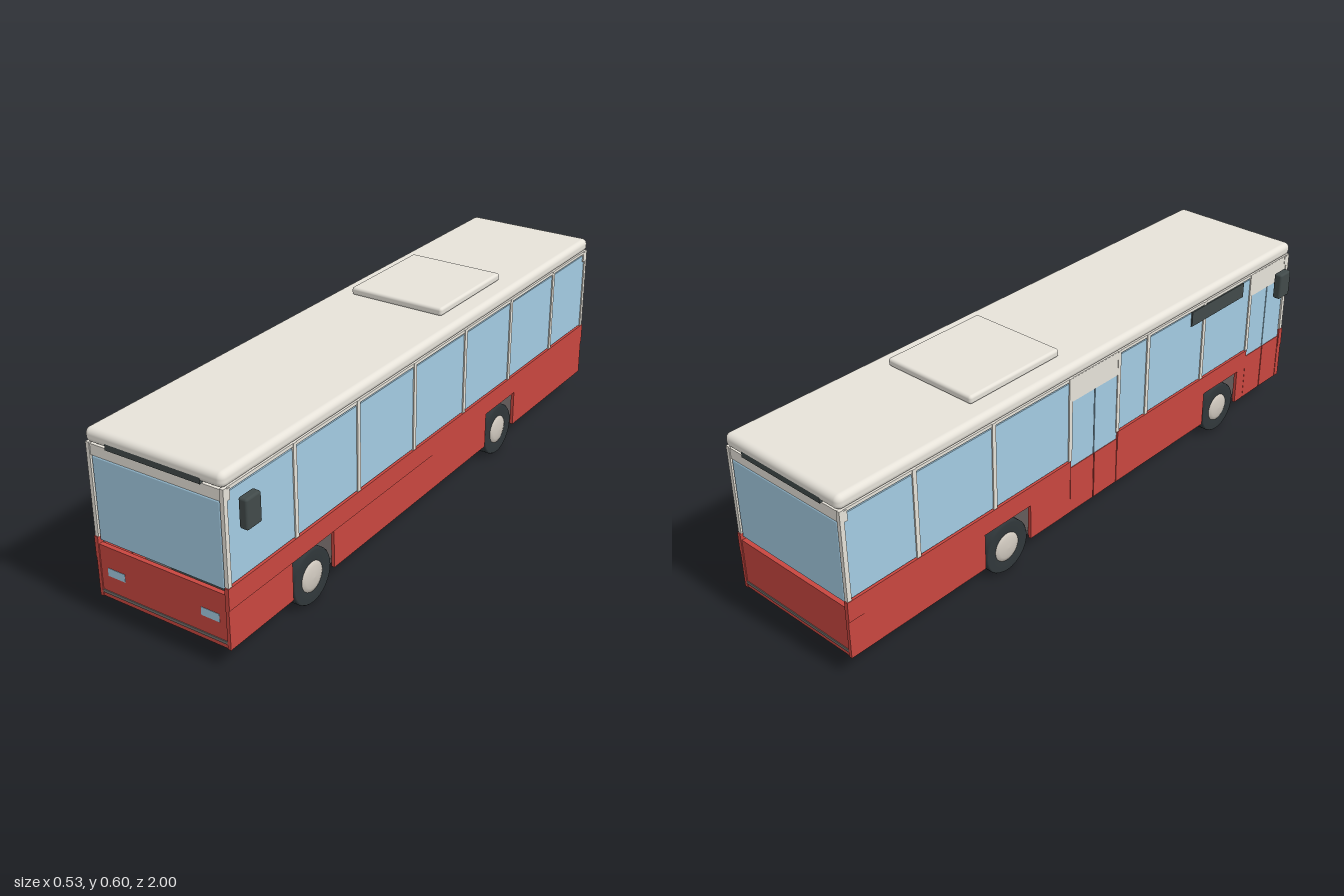
import * as THREE from 'three';
import { RoundedBoxGeometry } from 'three/addons/geometries/RoundedBoxGeometry.js';

const mat = (name, color) => Object.assign(new THREE.MeshStandardMaterial({ color }), { name });

export function createModel() {
  const red = mat('red paint', 0xc8463f);
  const cream = mat('warm grey paint', 0xe6e2d9);
  const glass = mat('blue glass', 0xa3cbe2);
  const dark = mat('dark trim', 0x414a4a);
  const rubber = mat('tyre rubber', 0x30373a);
  const under = mat('underbody', 0x595251);
  const grey = mat('grey trim', 0x75706c);
  const stepMetal = mat('step metal', 0x8a8784);
  const hubMetal = mat('hub metal', 0xcfc8be);

  const bus = new THREE.Group();
  bus.name = 'bus';

  const add = (name, geometry, material, parent = bus) => {
    const mesh = new THREE.Mesh(geometry, material);
    mesh.name = name;
    parent.add(mesh);
  };
  // Box given by its limits on each axis; a radius rounds its edges
  const box = (name, material, [x0, x1], [y0, y1], [z0, z1], radius = 0) => {
    const size = [x1 - x0, y1 - y0, z1 - z0];
    const geometry = radius
      ? new RoundedBoxGeometry(...size, 3, radius)
      : new THREE.BoxGeometry(...size);
    geometry.translate((x0 + x1) / 2, (y0 + y1) / 2, (z0 + z1) / 2);
    add(name, geometry, material);
  };
  // Limits for a layer on the positive or negative side of the body
  const across = (side, inner, outer) => (side > 0 ? [inner, outer] : [-outer, -inner]);

  // Roof, air conditioning pod and floor
  box('roof', cream, [-0.226, 0.226], [0.53, 0.574], [-1, 1], 0.018);
  box('roofPod', cream, [-0.163, 0.163], [0.574, 0.6], [-0.475, -0.112], 0.009);
  box('floor', under, [-0.214, 0.214], [0.078, 0.092], [-0.985, 0.985]);

  // Lower side walls, interrupted by wheel arches and doors
  const doors = [[0.78, 0.98], [-0.13, 0.09]];
  const skirts = {
    1: [[-1, -0.495], [-0.305, 0.545], [0.735, 1]],
    '-1': [[-1, -0.495], [-0.305, -0.13], [0.09, 0.545], [0.735, 0.78], [0.98, 1]],
  };
  const belts = {
    1: [[-1, 1]],
    '-1': [[-1, -0.13], [0.09, 0.78], [0.98, 1]],
  };
  // Window pillars and the panes between them
  const pillars = {
    1: [-0.99, -0.745, -0.45, -0.16, 0.13, 0.42, 0.71, 0.99],
    '-1': [-0.99, -0.745, -0.45, -0.13, 0.09, 0.23, 0.52, 0.78, 0.99],
  };
  for (const side of [1, -1]) {
    for (const span of skirts[side]) {
      box('sideSkirt', red, across(side, 0.214, 0.2245), [0.065, 0.185], span);
    }
    for (const span of belts[side]) {
      box('beltPanel', red, across(side, 0.214, 0.2265), [0.185, 0.25], span);
    }
    box('roofRail', cream, across(side, 0.213, 0.2235), [0.522, 0.532], [-0.995, 0.995]);
    pillars[side].forEach((z, i, all) => {
      box('windowPillar', cream, across(side, 0.213, 0.225), [0.25, 0.532], [z - 0.007, z + 0.007]);
      const next = all[i + 1];
      const isDoor = side < 0 && (i === 3 || i === 7);
      if (next !== undefined && !isDoor) {
        box('sideWindow', glass, across(side, 0.214, 0.221), [0.253, 0.516], [z + 0.007, next - 0.007]);
      }
    });
  }

  // Two-leaf doors with header panels and steps
  for (const [z0, z1] of doors) {
    const mid = (z0 + z1) / 2;
    for (const leaf of [[z0 + 0.002, mid - 0.002], [mid + 0.002, z1 - 0.002]]) {
      box('doorLowerPanel', red, [-0.224, -0.214], [0.065, 0.225], leaf);
      box('doorGlass', glass, [-0.222, -0.214], [0.225, 0.452], leaf);
    }
    box('doorHeader', cream, [-0.224, -0.214], [0.452, 0.53], [z0, z1]);
    box('doorStep', stepMetal, [-0.22, -0.09], [0.068, 0.078], [mid - 0.08, mid + 0.08]);
  }
  box('sideSign', dark, [-0.226, -0.219], [0.47, 0.52], [0.45, 0.73]);

  // Front and rear ends
  for (const end of [1, -1]) {
    const along = (inner, outer) => across(end, inner, outer);
    box('endHeader', cream, [-0.225, 0.225], [0.495, 0.528], along(0.972, 0.994));
    box('endWindow', glass, [-0.211, 0.211], [0.24, 0.495], along(0.978, 0.995), 0.005);
    box('endSign', dark, [-0.155, 0.155], [0.527, 0.545], along(0.975, 0.9995));
    box('endPanel', red, [-0.214, 0.214], [0.065, 0.228], along(0.983, 0.997));
    box('bumperStrip', grey, [-0.215, 0.215], [0.078, 0.087], along(0.995, 0.9995));
  }
  for (const x of [-0.16, 0.16]) {
    box('headlight', glass, [x - 0.03, x + 0.03], [0.137, 0.162], [0.995, 0.998]);
  }

  // Dashboard and the seats above the wheels
  box('dashboard', dark, [-0.015, 0.185], [0.16, 0.245], [0.87, 0.94]);
  for (const side of [1, -1]) {
    for (const span of [[0.545, 0.618], [-0.473, -0.37]]) {
      box('seat', glass, across(side, 0.095, 0.18), [0.17, 0.24], span);
    }
  }

  // Wheels: flat-treaded tyre and domed hub turned about the axle
  const lathe = (points) =>
    new THREE.LatheGeometry(points.map(([r, h]) => new THREE.Vector2(r, h)), 32);
  const tyreGeometry = lathe([
    [0, -0.04], [0.082, -0.04], [0.085, -0.037], [0.085, 0.035], [0.081, 0.04], [0.045, 0.036],
  ]);
  const hubGeometry = lathe([
    [0.048, 0.03], [0.046, 0.038], [0.034, 0.042], [0.018, 0.045], [0, 0.046],
  ]);
  for (const z of [0.64, -0.4]) {
    for (const side of [1, -1]) {
      const wheel = new THREE.Group();
      wheel.name = 'wheel';
      wheel.position.set(side * 0.18, 0.085, z);
      wheel.rotation.z = -side * Math.PI / 2;
      add('tyre', tyreGeometry, rubber, wheel);
      add('hub', hubGeometry, hubMetal, wheel);
      bus.add(wheel);
    }
  }

  // Door mirrors on short arms
  for (const side of [1, -1]) {
    box('mirror', dark, across(side, 0.235, 0.263), [0.408, 0.497], [0.898, 0.957], 0.007);
    box('mirrorArm', dark, across(side, 0.218, 0.237), [0.448, 0.457], [0.922, 0.932]);
  }

  return bus;
}
